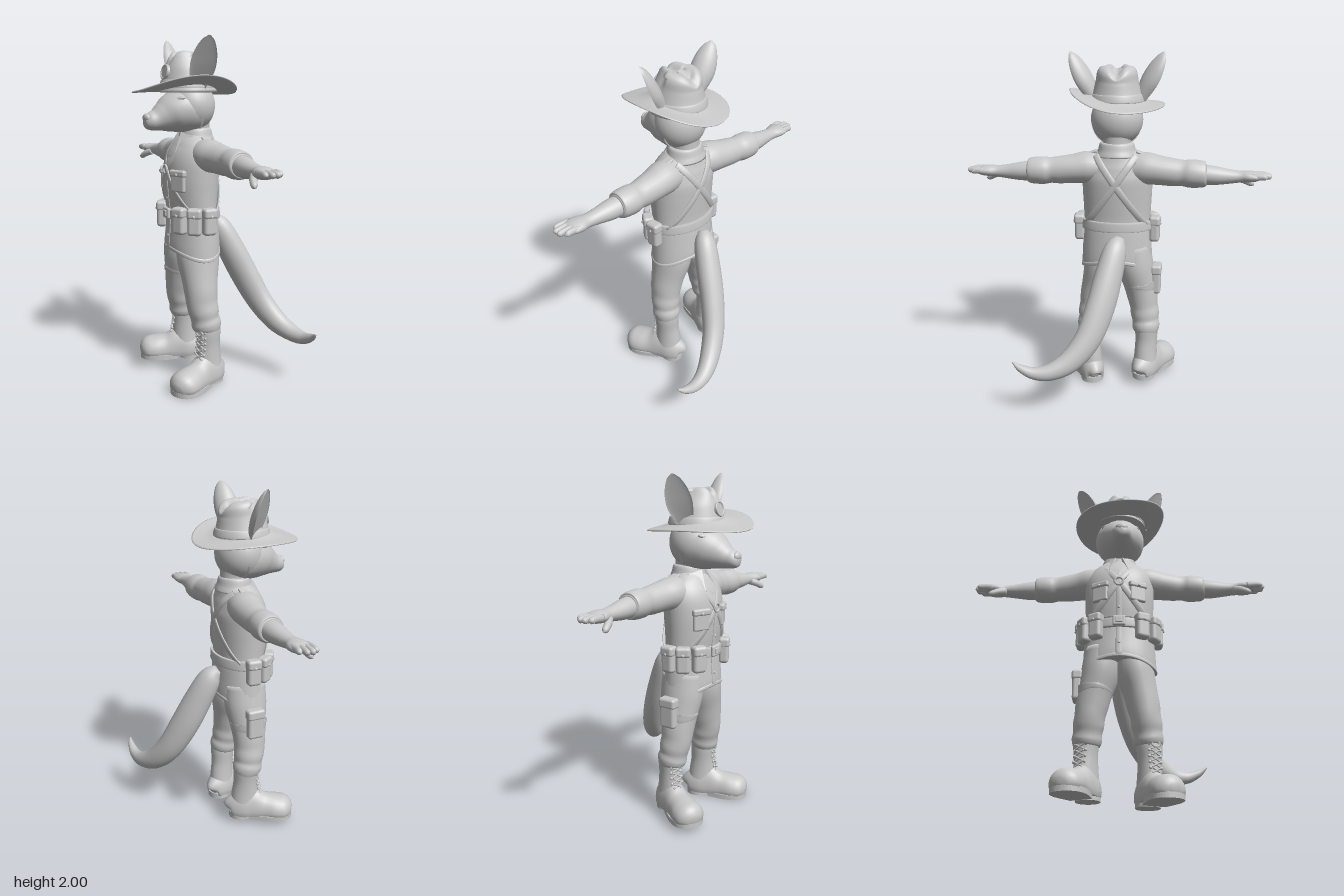
import * as THREE from 'three';
import { RoundedBoxGeometry } from 'three/addons/geometries/RoundedBoxGeometry.js';

const clay = new THREE.MeshStandardMaterial({ color: 0xc8c8c8 });
clay.name = 'clayGrey';

// Smooth closed tube through rows [x, y, z, ra, rb]; ra lies along ref, rb across it
function sweep(rows, ref, { seg = 24, steps = 5, hollow = null } = {}) {
  const path = new THREE.CatmullRomCurve3(rows.map(r => new THREE.Vector3(r[0], r[1], r[2])), false, 'catmullrom');
  const size = new THREE.CatmullRomCurve3(rows.map(r => new THREE.Vector3(r[3], r[4], 0)), false, 'catmullrom');
  const n = (rows.length - 1) * steps, pos = [], idx = [];
  for (let i = 0; i <= n; i++) {
    const p = path.getPoint(i / n), T = path.getTangent(i / n), r = size.getPoint(i / n);
    const U = new THREE.Vector3(...ref).addScaledVector(T, -T.dot(new THREE.Vector3(...ref))).normalize();
    const V = new THREE.Vector3().crossVectors(T, U);
    for (let j = 0; j < seg; j++) {
      const a = j / seg * Math.PI * 2;
      let s = Math.sin(a);
      if (hollow !== null && s > 0) s *= -hollow;
      const q = p.clone().addScaledVector(U, r.x * Math.cos(a)).addScaledVector(V, r.y * s);
      pos.push(q.x, q.y, q.z);
      if (i < n) {
        const k = i * seg + j, k1 = i * seg + (j + 1) % seg;
        idx.push(k, k1, k1 + seg, k, k1 + seg, k + seg);
      }
    }
  }
  const c = pos.length / 3, a = rows[0], b = rows[rows.length - 1];
  pos.push(a[0], a[1], a[2], b[0], b[1], b[2]);
  for (let j = 0; j < seg; j++) {
    const j1 = (j + 1) % seg;
    idx.push(c, j1, j, c + 1, n * seg + j, n * seg + j1);
  }
  const g = new THREE.BufferGeometry();
  g.setAttribute('position', new THREE.Float32BufferAttribute(pos, 3));
  g.setIndex(idx);
  g.computeVertexNormals();
  return g;
}

// Move every vertex by a rule
function bend(g, rule) {
  const p = g.attributes.position, v = new THREE.Vector3();
  for (let i = 0; i < p.count; i++) { rule(v.fromBufferAttribute(p, i)); p.setXYZ(i, v.x, v.y, v.z); }
  g.computeVertexNormals();
  return g;
}

function add(parent, name, geo, x = 0, y = 0, z = 0, ry = 0) {
  const m = new THREE.Mesh(geo, clay);
  m.name = name;
  m.position.set(x, y, z);
  m.rotation.y = ry;
  parent.add(m);
  return m;
}
const box = (w, h, d, r = 0.012) => new RoundedBoxGeometry(w, h, d, 3, r);
const ball = (x, y, z) => new THREE.SphereGeometry(1, 28, 20).scale(x, y, z);
const X = [1, 0, 0], Y = [0, 1, 0];

// Shirt cross-sections: y, half width, half depth, centre z
const TORSO = [[0.775, 0.213, 0.15, 0.035], [0.83, 0.211, 0.15, 0.035], [0.95, 0.202, 0.142, 0.035], [1.03, 0.197, 0.138, 0.038],
  [1.12, 0.2, 0.146, 0.042], [1.22, 0.205, 0.152, 0.042], [1.31, 0.205, 0.148, 0.036], [1.38, 0.185, 0.125, 0.025],
  [1.43, 0.14, 0.1, 0.015], [1.46, 0.1, 0.085, 0.01]];
function section(y) {
  let i = 0;
  while (i < TORSO.length - 2 && TORSO[i + 1][0] < y) i++;
  const t = THREE.MathUtils.clamp((y - TORSO[i][0]) / (TORSO[i + 1][0] - TORSO[i][0]), 0, 1);
  return TORSO[i].map((v, k) => THREE.MathUtils.lerp(v, TORSO[i + 1][k], t));
}
// Point on the shirt, f = 1 front or -1 back
function onShirt(x, y, f, out = 0.006) {
  const [, a, b, zc] = section(y);
  return [x, y, zc + f * ((b + out) * Math.sqrt(Math.max(0, 1 - (x / (a + out)) ** 2)))];
}
// The hem hangs lower at the sides
const hang = v => { v.y += (0.02 - 0.05 * (v.x / 0.21) ** 2) * (1 - THREE.MathUtils.smoothstep(v.y, 0.8, 0.92)); };

function buildTorso(body) {
  add(body, 'shirt', bend(sweep(TORSO.map(([y, a, b, z]) => [0, y, z, a, b]), X, { seg: 40 }), hang));
  const ring = (y, o) => { const [, a, b, z] = section(y); return [0, y, z, a + o, b + o]; };
  add(body, 'belt', sweep([ring(0.985, 0.008), ring(0.99, 0.014), ring(1.035, 0.014), ring(1.04, 0.008)], X, { seg: 40 }));
  add(body, 'shirtHem', bend(sweep([ring(0.776, 0), ring(0.78, 0.004), ring(0.793, 0.004), ring(0.798, 0)], X, { seg: 40 }), hang));
  add(body, 'buckle', box(0.075, 0.065, 0.02), 0, 1.012, 0.195);
  add(body, 'bucklePin', box(0.04, 0.035, 0.014, 0.005), 0, 1.012, 0.205);
  // Button front
  add(body, 'placket', sweep([0.81, 0.9, 1.0, 1.12, 1.22, 1.31, 1.38].map(y => [...onShirt(0, y, 1, 0.001), 0.018, 0.005]), X, { seg: 10 }));
  for (const y of [0.88, 1.1, 1.29, 1.35])
    add(body, 'button', ball(0.008, 0.008, 0.005), ...onShirt(0, y, 1, 0.007));
  for (const s of [-1, 1]) {
    // Chest pockets with flaps
    const p = onShirt(s * 0.108, 1.2, 1, -0.004), yaw = s * 0.45;
    add(body, 'chestPocket', box(0.1, 0.11, 0.03), ...p, yaw);
    add(body, 'pocketFlap', box(0.112, 0.038, 0.044), p[0], 1.252, p[2], yaw);
    add(body, 'pocketButton', ball(0.009, 0.009, 0.007), p[0] + s * 0.01, 1.245, p[2] + 0.02);
    // Crossed shoulder straps, front and back
    for (const f of [-1, 1]) {
      const rows = [];
      for (let i = 0; i <= 9; i++) {
        const t = i / 9, y = 1.43 - 0.41 * t, x = s * (0.115 - 0.29 * t);
        rows.push([...onShirt(x, y, f, 0.004), 0.02, 0.007]);
      }
      add(body, 'shoulderStrap', sweep(rows, [0.8, -s * 0.55, 0], { seg: 12, steps: 3 }));
    }
    // Ammunition pouches around the belt
    [36, 64, 93].forEach(deg => {
      const a = deg * Math.PI / 180, x = s * 0.224 * Math.sin(a), z = 0.037 + 0.163 * Math.cos(a);
      const pouch = new THREE.Group();
      pouch.name = 'beltPouch';
      pouch.position.set(x, 0.983, z);
      pouch.rotation.y = Math.atan2(x / 0.045, (z - 0.037) / 0.024);
      add(pouch, 'pouchBody', box(0.08, 0.15, 0.06, 0.02));
      add(pouch, 'pouchFlap', box(0.085, 0.06, 0.066, 0.018), 0, 0.05, 0.002);
      add(pouch, 'pouchStud', ball(0.009, 0.009, 0.007), 0, 0.035, 0.034);
      body.add(pouch);
    });
    // Collar wing and shoulder tab
    const wing = new THREE.Shape([[0, 0.04], [0.085, 0.045], [0.095, -0.02], [0.04, -0.08]].map(q => new THREE.Vector2(s * q[0], q[1])).sort(() => 0));
    const w = add(body, 'collarWing', new THREE.ExtrudeGeometry(wing, { depth: 0.012, bevelSize: 0.004, bevelThickness: 0.004, bevelSegments: 2 }), s * 0.015, 1.435, 0.125, s * 0.55);
    w.rotation.x = -0.62;
    const tab = add(body, 'shoulderTab', box(0.11, 0.014, 0.05, 0.006), s * 0.165, 1.43, 0.005);
    tab.rotation.z = -s * 0.35;
  }
  add(body, 'collar', sweep([[0, 1.415, 0.01, 0.125, 0.11], [0, 1.45, 0.012, 0.11, 0.1], [0, 1.49, 0.012, 0.1, 0.09], [0, 1.5, 0.012, 0.088, 0.078]], X, { seg: 32 }));
  add(body, 'strapRing', new THREE.TorusGeometry(0.024, 0.007, 8, 20), ...onShirt(0, 1.265, 1, 0.012));
}

function buildArm(body, s) {
  const arm = new THREE.Group();
  arm.name = s > 0 ? 'leftArm' : 'rightArm';
  const row = (x, y, z, a, b) => [s * x, y, z, a, b];
  add(arm, 'sleeve', sweep([row(0.08, 1.35, 0.015, 0.085, 0.09), row(0.17, 1.35, 0.005, 0.093, 0.098), row(0.25, 1.343, -0.008, 0.084, 0.088),
    row(0.33, 1.335, -0.015, 0.08, 0.078), row(0.38, 1.333, -0.018, 0.075, 0.073), row(0.42, 1.331, -0.02, 0.08, 0.08), row(0.465, 1.33, -0.02, 0.079, 0.081),
    row(0.505, 1.328, -0.02, 0.073, 0.075), row(0.515, 1.328, -0.02, 0.058, 0.06)], Y));
  add(arm, 'forearm', sweep([row(0.48, 1.328, -0.02, 0.058, 0.06), row(0.56, 1.322, -0.016, 0.054, 0.056), row(0.64, 1.318, -0.012, 0.042, 0.045),
    row(0.7, 1.318, -0.01, 0.034, 0.042), row(0.745, 1.32, -0.008, 0.033, 0.056), row(0.79, 1.32, -0.006, 0.028, 0.058), row(0.825, 1.32, -0.006, 0.014, 0.045)], Y));
  [-0.045, -0.018, 0.01, 0.037].forEach((z, i) => {
    const end = [0.855, 0.88, 0.882, 0.865][i], dz = z * 1.05;
    add(arm, 'finger', sweep([row(0.77, 1.322, z, 0.02, 0.016), row(0.82, 1.325, (z + dz) / 2, 0.019, 0.0155), row(end - 0.012, 1.322, dz, 0.016, 0.0145), row(end, 1.32, dz, 0.004, 0.004)], Y, { seg: 12 }));
  });
  add(arm, 'thumb', sweep([row(0.7, 1.305, 0.012, 0.024, 0.024), row(0.735, 1.288, 0.04, 0.021, 0.02), row(0.775, 1.265, 0.056, 0.017, 0.017), row(0.79, 1.256, 0.06, 0.004, 0.004)], Y, { seg: 12 }));
  body.add(arm);
}

function buildLeg(body, s) {
  const leg = new THREE.Group();
  leg.name = s > 0 ? 'leftLeg' : 'rightLeg';
  const row = (x, y, z, a, b) => [s * x - 0.01, y, z, a, b];
  add(leg, 'trouserLeg', sweep([row(0.085, 0.88, 0.035, 0.105, 0.125), row(0.1, 0.75, 0.035, 0.11, 0.128), row(0.128, 0.63, 0.038, 0.098, 0.108),
    row(0.145, 0.55, 0.038, 0.093, 0.098), row(0.155, 0.49, 0.036, 0.086, 0.093), row(0.162, 0.44, 0.028, 0.087, 0.09), row(0.166, 0.4, 0.022, 0.081, 0.084),
    row(0.17, 0.365, 0.015, 0.084, 0.088), row(0.174, 0.335, 0.01, 0.076, 0.08), row(0.174, 0.328, 0.01, 0.06, 0.06)], X));
  // Boot
  const boot = new THREE.Group();
  boot.name = 'boot';
  boot.position.set(s * 0.175 - 0.01, s > 0 ? 0 : 0.035, 0.005);
  boot.rotation.y = s * 0.42;
  add(boot, 'bootShaft', sweep([[0, 0.06, -0.012, 0.074, 0.086], [0, 0.16, -0.006, 0.066, 0.08], [0, 0.24, -0.002, 0.065, 0.073], [0, 0.31, 0, 0.07, 0.076], [0, 0.35, 0, 0.07, 0.075]], X));
  add(boot, 'bootUpper', bend(sweep([[0, 0.05, -0.1, 0.02, 0.03], [0, 0.055, -0.088, 0.056, 0.08], [0, 0.055, -0.03, 0.076, 0.125], [0, 0.055, 0.04, 0.076, 0.135],
    [0, 0.05, 0.11, 0.08, 0.1], [0, 0.048, 0.18, 0.093, 0.089], [0, 0.046, 0.235, 0.086, 0.08], [0, 0.042, 0.27, 0.052, 0.05], [0, 0.04, 0.282, 0.012, 0.012]], X),
  v => { v.y = Math.max(v.y, 0.022); }));
  const outline = new THREE.Shape();
  outline.moveTo(-0.066, 0.04);
  outline.bezierCurveTo(-0.08, 0.1, -0.1, 0.15, -0.092, 0.2);
  outline.bezierCurveTo(-0.08, 0.308, 0.08, 0.308, 0.092, 0.2);
  outline.bezierCurveTo(0.1, 0.15, 0.08, 0.1, 0.066, 0.04);
  add(boot, 'sole', new THREE.ExtrudeGeometry(outline, { depth: 0.03, bevelEnabled: false, curveSegments: 16 }).rotateX(Math.PI / 2).translate(0, 0.03, 0));
  add(boot, 'heel', new THREE.CylinderGeometry(0.069, 0.069, 0.036, 24), 0, 0.018, -0.034);
  // Crossed laces up the front
  for (let i = 0; i < 5; i++) {
    const y = 0.18 + i * 0.033, z = 0.072 + (i === 0 ? 0.012 : i === 1 ? 0.005 : 0);
    for (const t of [-1, 1]) {
      const lace = add(boot, 'lace', new THREE.CapsuleGeometry(0.005, 0.05, 3, 8), 0, y, z);
      lace.rotation.z = t * 1.05;
      add(boot, 'eyelet', ball(0.009, 0.009, 0.007), t * 0.032, y + 0.015, z - 0.008);
    }
  }
  add(boot, 'laceBow', new THREE.TorusGeometry(0.016, 0.005, 6, 16).scale(1.4, 1, 1), 0, 0.325, 0.08);
  leg.add(boot);
  body.add(leg);
}

function buildHead(body) {
  const head = new THREE.Group();
  head.name = 'head';
  head.rotation.y = 0.06;
  add(head, 'neck', sweep([[0, 1.42, 0.005, 0.085, 0.08], [0, 1.5, 0.012, 0.082, 0.082], [0, 1.57, 0.03, 0.105, 0.11]], X));
  add(head, 'skull', ball(0.15, 0.15, 0.14), 0, 1.625, 0.045);
  add(head, 'snout', sweep([[0, 1.605, 0.03, 0.143, 0.135], [0, 1.6, 0.1, 0.139, 0.13], [0, 1.582, 0.165, 0.12, 0.112], [0, 1.562, 0.22, 0.086, 0.084],
    [0, 1.547, 0.265, 0.062, 0.06], [0, 1.54, 0.305, 0.05, 0.048], [0, 1.54, 0.328, 0.03, 0.03], [0, 1.54, 0.335, 0.006, 0.006]], X, { seg: 28 }));
  add(head, 'nose', ball(0.036, 0.026, 0.02), 0, 1.56, 0.318);
  for (const s of [-1, 1]) {
    const brow = add(head, 'brow', ball(0.048, 0.016, 0.022), s * 0.072, 1.662, 0.158, s * 0.5);
    brow.rotation.z = s * 0.2;
    add(head, 'eyelid', ball(0.032, 0.014, 0.014), s * 0.075, 1.638, 0.166, s * 0.5);
    // Hollow leaf-shaped ear
    add(head, 'ear', sweep([[s * 0.125, 1.71, 0.065, 0.035, 0.035], [s * 0.157, 1.77, 0.07, 0.055, 0.05], [s * 0.195, 1.84, 0.07, 0.07, 0.055],
      [s * 0.228, 1.91, 0.068, 0.062, 0.045], [s * 0.254, 1.97, 0.066, 0.036, 0.024], [s * 0.264, 1.998, 0.066, 0.006, 0.004]], [-0.6, 0, 0.8 * s], { hollow: 0.15 }));
  }
  // Hat: drooping brim turned up on one side, dented crown
  const brim = new THREE.LatheGeometry([[0.1, 0], [0.2, -0.004], [0.272, 0], [0.287, 0.003], [0.289, 0.008], [0.28, 0.012], [0.22, 0.012], [0.17, 0.022], [0.13, 0.04]].map(p => new THREE.Vector2(...p)), 56);
  add(head, 'hatBrim', bend(brim, v => {
    v.y += 0.08 * v.x + 0.025 * v.z + (v.x > 0 ? 0.55 : 0.1) * v.x * v.x - 0.3 * v.z * v.z;
    v.x *= 0.95;
    v.z *= 1.055;
  }), 0, 1.716, 0.08);
  add(head, 'hatCrown', bend(sweep([[0, 1.7, 0.06, 0.162, 0.168], [0, 1.77, 0.06, 0.141, 0.149], [0, 1.84, 0.055, 0.122, 0.134], [0, 1.89, 0.045, 0.112, 0.122],
    [0, 1.916, 0.04, 0.092, 0.1], [0, 1.924, 0.039, 0.05, 0.06], [0, 1.925, 0.039, 0.01, 0.01]], X, { seg: 48 }),
  v => {
    const k = THREE.MathUtils.smoothstep(v.y, 1.82, 1.91);
    v.y -= k * 0.04 * Math.exp(-((v.x / 0.035) ** 2));
    if (v.z > 0.06) v.x *= 1 - 0.25 * k;
  }));
  add(head, 'hatBand', sweep([[0, 1.725, 0.06, 0.15, 0.157], [0, 1.73, 0.06, 0.157, 0.164], [0, 1.765, 0.06, 0.147, 0.155], [0, 1.77, 0.06, 0.138, 0.146]], X, { seg: 48 }));
  add(head, 'hatBadge', new THREE.CylinderGeometry(0.04, 0.043, 0.014, 28).rotateX(Math.PI / 2 - 0.2), 0, 1.81, 0.2);
  add(head, 'badgeRim', new THREE.TorusGeometry(0.038, 0.006, 8, 28).rotateX(-0.2), 0, 1.811, 0.206);
  body.add(head);
}

export function createModel() {
  const model = new THREE.Group();
  model.name = 'uniformedKangaroo';
  const body = new THREE.Group();
  body.name = 'body';
  body.rotation.y = -0.53;
  model.add(body);
  buildTorso(body);
  for (const s of [-1, 1]) { buildArm(body, s); buildLeg(body, s); }
  buildHead(body);
  // Thigh pouch on the right leg
  add(body, 'thighPouch', box(0.056, 0.17, 0.1, 0.018), -0.238, 0.665, 0.035);
  add(body, 'thighPouchFlap', box(0.064, 0.06, 0.108, 0.016), -0.238, 0.73, 0.035);
  add(body, 'thighStrap', sweep([[-0.14, 0.625, 0.038, 0.098, 0.108], [-0.14, 0.63, 0.038, 0.101, 0.111], [-0.137, 0.65, 0.038, 0.104, 0.114], [-0.137, 0.655, 0.038, 0.098, 0.108]], X));
  // Tail curling out to the left
  add(model, 'tail', sweep([[0.03, 0.96, -0.11, 0.03, 0.03], [0.07, 0.9, -0.135, 0.068, 0.062], [0.13, 0.76, -0.175, 0.084, 0.072], [0.2, 0.6, -0.22, 0.088, 0.07], [0.29, 0.44, -0.255, 0.08, 0.064],
    [0.4, 0.33, -0.265, 0.068, 0.058], [0.51, 0.28, -0.257, 0.051, 0.047], [0.6, 0.274, -0.23, 0.037, 0.035], [0.67, 0.303, -0.195, 0.023, 0.022], [0.71, 0.338, -0.165, 0.005, 0.005]], [0.8, 0.6, 0]));
  return model;
}
